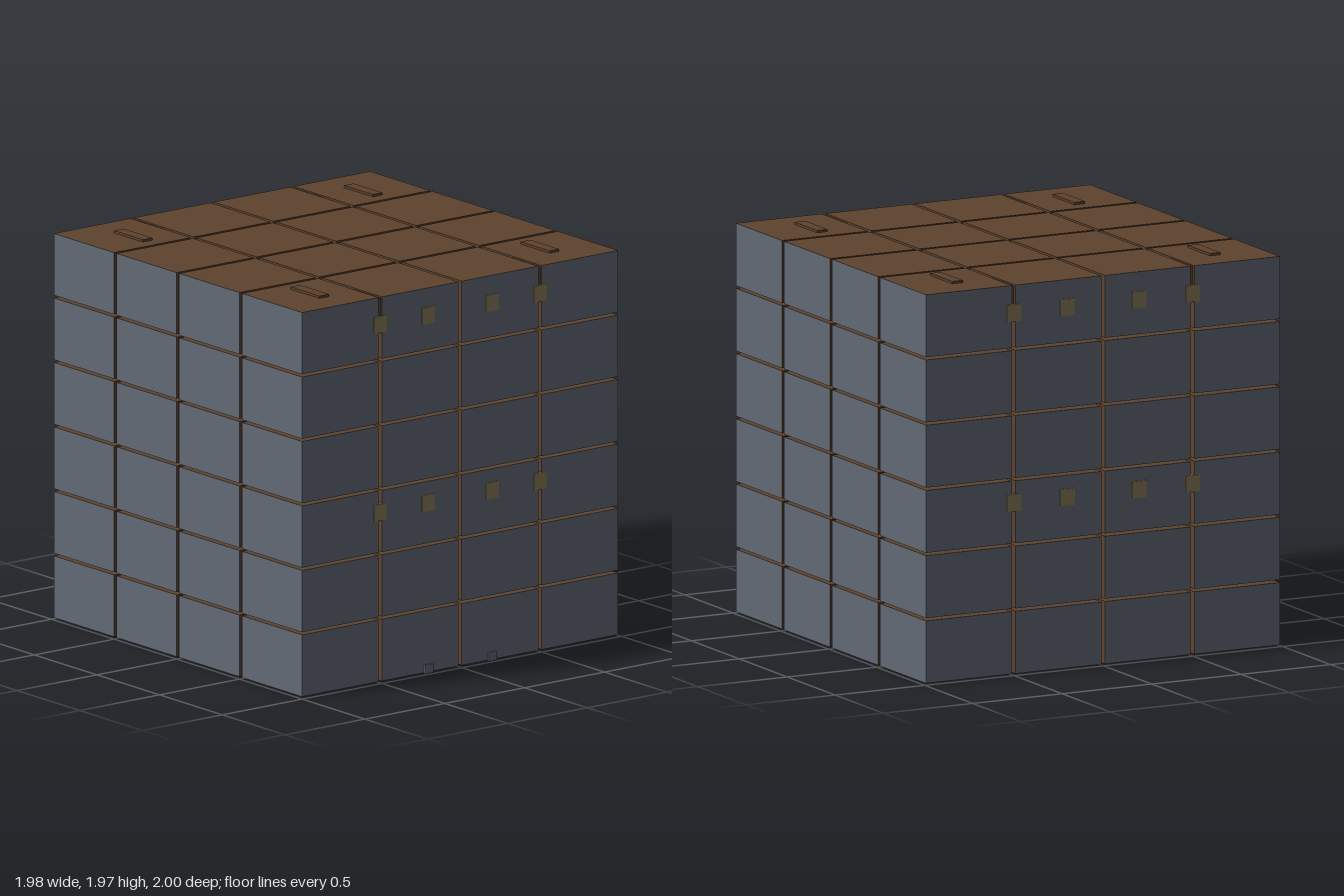
import * as THREE from 'three';

const mat = (color) => new THREE.MeshStandardMaterial({ color, flatShading: true });

export function createModel() {
  const model = new THREE.Group();
  const slate = mat(0x626a75), brown = mat(0x5e432d), tan = mat(0x8a7a58), dark = mat(0x2e2a22);

  const box = (name, material, size, pos, parent = model) => {
    const mesh = new THREE.Mesh(new THREE.BoxGeometry(...size), material);
    mesh.position.set(...pos);
    mesh.name = name;
    parent.add(mesh);
    return mesh;
  };

  // Outer blocks: 4 x 6 x 4 with narrow gaps, slate only on the outside walls
  const blocks = new THREE.Group();
  blocks.name = 'blocks';
  model.add(blocks);
  const cols = 4, rows = 6, stepX = 0.5, stepY = 0.328, gap = 0.02;
  for (let i = 0; i < cols; i++) for (let k = 0; k < cols; k++) for (let j = 0; j < rows; j++) {
    const faces = [
      i === cols - 1 ? slate : brown, i === 0 ? slate : brown,
      brown, brown,
      k === cols - 1 ? slate : brown, k === 0 ? slate : brown,
    ];
    box('block', faces, [stepX - gap, stepY - 0.014, stepX - gap],
      [(i - 1.5) * stepX, 0.008 + 0.157 + j * stepY, (k - 1.5) * stepX - 0.004], blocks);
  }

  // Inner tower, seen through the gaps
  box('towerCore', slate, [1.44, 1.85, 1.6], [0, 0.93, 0]);
  const parapet = new THREE.Group();
  parapet.name = 'parapet';
  model.add(parapet);
  for (const s of [-1, 1]) {
    // Side walls and front/back walls, the latter notched in the middle
    box('parapetSide', brown, [0.05, 0.1, 1.3], [s * 0.72, 1.905, 0], parapet);
    for (const t of [-1, 1]) {
      box('parapetEnd', brown, [0.66, 0.1, 0.05], [t * 0.37, 1.905, s * 0.775], parapet);
      box('cornerCap', brown, [0.06, 0.022, 0.23], [s * 0.72, 1.963, t * 0.705], parapet);
    }
  }

  // Protruding floor beams with braces, at two heights
  const beams = new THREE.Group();
  beams.name = 'beams';
  model.add(beams);
  for (const y of [1.823, 0.868]) for (const s of [-1, 1]) {
    for (const x of [-0.5, -0.2, 0.2, 0.5]) {
      const end = s > 0 ? 0.99 : 1.0;
      box('beam', tan, [0.08, 0.084, end - 0.75], [x, y, s * (end + 0.75) / 2], beams);
    }
    for (const t of [-0.5, 0.5]) {
      box('sideBeam', tan, [0.2, 0.084, 0.08], [s * 0.82, y, t], beams);
      box('brace', dark, [0.06, 0.11, 0.12], [t, y - 0.097, s * 0.85], beams);
      box('sideBrace', dark, [0.12, 0.11, 0.06], [s * 0.8, y - 0.097, t], beams);
      if (y > 1) {
        box('plank', brown, [0.06, 0.09, 0.18], [t, 1.91, s * 0.89], beams);
        box('sidePlank', brown, [0.17, 0.09, 0.06], [s * 0.835, 1.91, t], beams);
      }
    }
  }

  // Door, step and small kerb stones at the front
  box('door', brown, [0.32, 0.6, 0.02], [0, 0.31, 0.81]);
  box('step', slate, [0.16, 0.1, 0.16], [0, 0.06, 0.88]);
  for (const s of [-1, 1]) box('kerbStone', slate, [0.05, 0.045, 0.06], [s * 0.2, 0.0255, 0.965]);

  // Foundation outline just below the blocks
  const base = new THREE.Group();
  base.name = 'foundation';
  model.add(base);
  const h = 0.012, y = 0.006;
  for (const s of [-1, 1]) {
    box('sideFooting', dark, [0.02, h, 1.5], [s * 0.7, y, 0], base);
    box('endFooting', dark, [1.4, h, 0.02], [0, y, s * 0.75], base);
    for (const t of [-1, 1]) {
      box('cornerSideFooting', dark, [0.02, h, 0.2], [s * 0.63, y, t * 0.64], base);
      box('cornerEndFooting', dark, [0.16, h, 0.02], [s * 0.64, y, t * 0.68], base);
    }
    for (let i = -5; i <= 5; i++) {
      box('sideStud', dark, [i % 2 ? 0.05 : 0.1, h, 0.012], [s * 0.71, y, i * 0.09], base);
      box('endStud', dark, [0.012, h, i % 2 ? 0.05 : 0.1], [i * 0.09, y, s * 0.76], base);
    }
    // Square pads beside the wall, drawn as thin frames
    for (const t of [-1, 1]) {
      box('padEdge', dark, [0.1, h, 0.01], [0.8, y, s * 0.36 + t * 0.045], base);
      box('padEdge', dark, [0.01, h, 0.1], [0.8 + t * 0.045, y, s * 0.36], base);
    }
  }

  return model;
}
